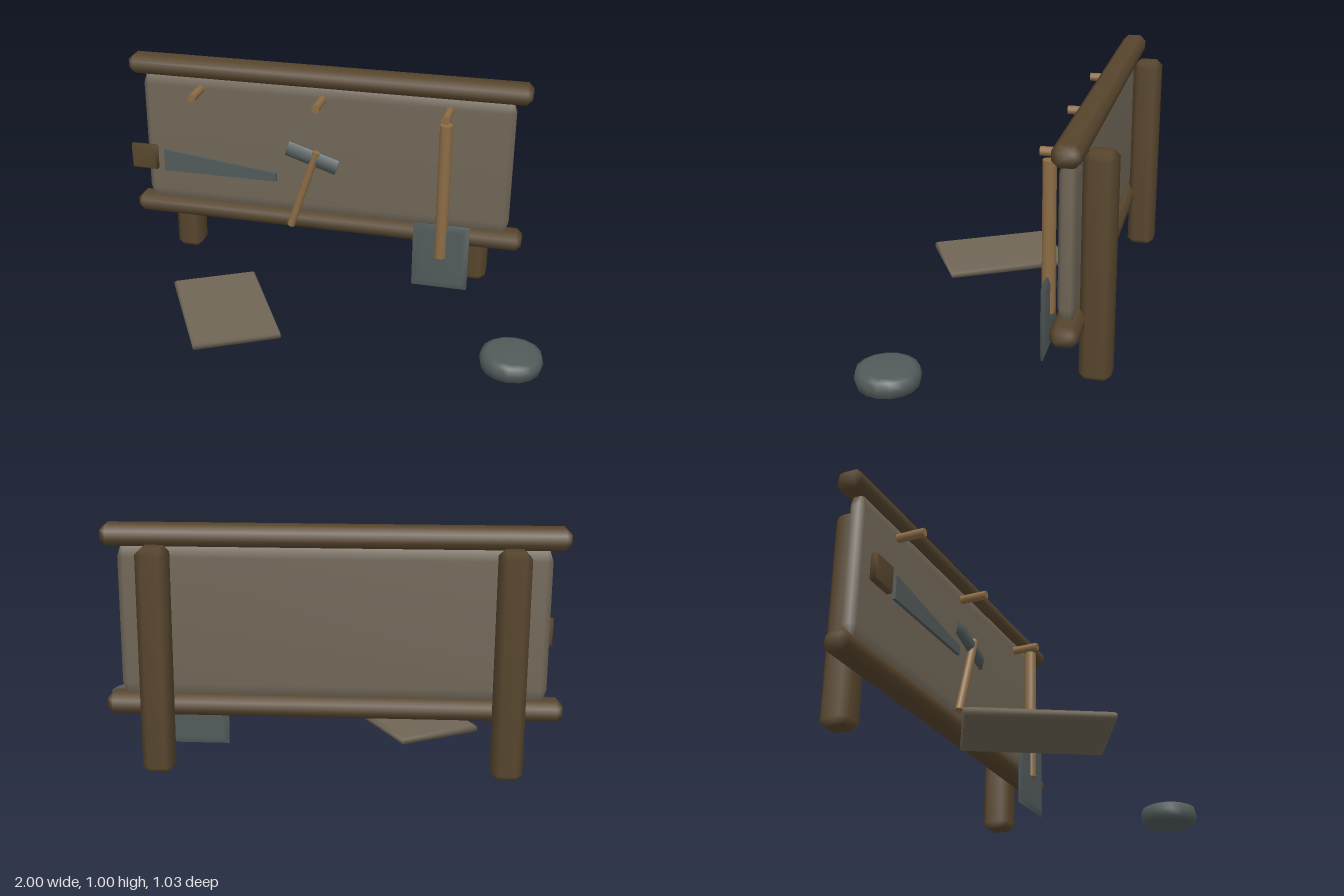
import * as THREE from 'three';
import { mergeVertices } from 'three/addons/utils/BufferGeometryUtils.js';
import { ConvexGeometry } from 'three/addons/geometries/ConvexGeometry.js';

const material = (name, color) => {
  const m = new THREE.MeshStandardMaterial({ color });
  m.name = name;
  return m;
};

// Convex solid with softly blended normals
function softHull(points) {
  const g = new ConvexGeometry(points);
  g.deleteAttribute('normal');
  const merged = mergeVertices(g, 1e-4);
  merged.computeVertexNormals();
  return merged;
}

// Every sign combination of a corner
function corners(x, y, z) {
  const out = [];
  for (const i of [-1, 1]) for (const j of [-1, 1]) for (const k of [-1, 1]) {
    out.push(new THREE.Vector3(i * x, j * y, k * z));
  }
  return out;
}

// Box with all edges chamfered
function chamferBox(w, h, d, cx, cy = cx, cz = cx) {
  const x = w / 2, y = h / 2, z = d / 2;
  return softHull([
    ...corners(x, y - cy, z - cz),
    ...corners(x - cx, y, z - cz),
    ...corners(x - cx, y - cy, z),
  ]);
}

// Slab with square outline, thinning towards its rim
function pillow(w, h, d, inset, rim) {
  return softHull([
    ...corners(w / 2, h / 2, rim / 2),
    ...corners(w / 2 - inset, h / 2 - inset, d / 2),
  ]);
}

export function createModel() {
  const wood = material('dark timber', 0x57452d);
  const tan = material('light wood', 0x8c6c45);
  const board = material('weathered board', 0x706657);
  const metal = material('dull metal', 0x525b5a);

  const root = new THREE.Group();
  root.name = 'toolRack';
  const add = (name, geometry, mat, x, y, z, parent = root) => {
    const mesh = new THREE.Mesh(geometry, mat);
    mesh.name = name;
    mesh.position.set(x, y, z);
    parent.add(mesh);
    return mesh;
  };
  const group = (name, x, y, z) => {
    const g = new THREE.Group();
    g.name = name;
    g.position.set(x, y, z);
    root.add(g);
    return g;
  };

  // Frame
  add('topRail', chamferBox(1.835, 0.087, 0.108, 0.025), wood, -0.083, 0.952, -0.362);
  add('bottomRail', chamferBox(1.835, 0.087, 0.108, 0.025), wood, -0.083, 0.256, -0.362);
  for (const [name, x] of [['rightPost', -0.78], ['leftPost', 0.615]]) {
    add(name, chamferBox(0.122, 0.92, 0.127, 0.026), wood, x, 0.46, -0.456);
  }
  add('backPanel', chamferBox(1.705, 0.67, 0.068, 0.025, 0.075, 0.017), board, -0.082, 0.604, -0.359);

  // Hanging pegs
  for (const x of [-0.655, -0.085, 0.485]) {
    const peg = add('peg', new THREE.CylinderGeometry(0.019, 0.019, 0.15, 10), tan, x, 0.858, -0.277);
    peg.rotation.x = Math.PI / 2;
  }

  // Saw
  const saw = group('saw', 0, 0, -0.233);
  add('sawHandle', pillow(0.122, 0.115, 0.036, 0.008, 0.02), wood, -0.907, 0.543, 0, saw);
  const outline = new THREE.Shape([
    new THREE.Vector2(-0.812, 0.482), new THREE.Vector2(-0.275, 0.482),
    new THREE.Vector2(-0.275, 0.522), new THREE.Vector2(-0.812, 0.585),
  ]);
  add('sawBlade', new THREE.ExtrudeGeometry(outline, { depth: 0.014, bevelEnabled: false }), metal, 0, 0, -0.007, saw);

  // Hammer, leaning
  const hammer = group('hammer', -0.114, 0.604, -0.256);
  hammer.rotation.z = -0.315;
  add('hammerHead', pillow(0.242, 0.07, 0.042, 0.022, 0.014), metal, 0, 0, -0.004, hammer);
  const grip = add('hammerHandle', new THREE.CylinderGeometry(0.018, 0.018, 0.395, 10), tan, -0.018, -0.163, 0.002, hammer);
  grip.rotation.z = 0.0;
  grip.position.set(0.011, -0.162, 0.003);
  grip.rotation.z = 0;

  // Shovel
  const shovel = group('shovel', 0.486, 0, -0.239);
  add('shovelShaft', new THREE.CylinderGeometry(0.028, 0.028, 0.635, 12), tan, 0, 0.508, 0, shovel);
  add('shovelBlade', pillow(0.253, 0.315, 0.024, 0.028, 0.008), metal, 0, 0.193, 0, shovel);

  // Loose board on the ground
  const tile = group('looseBoard', -0.4, 0.027, 0.174);
  tile.rotation.y = 0.5;
  const slab = add('boardSlab', pillow(0.376, 0.564, 0.036, 0.01, 0.016), board, 0, 0, 0, tile);
  slab.rotation.x = -Math.PI / 2;

  // Rounded whetstone
  const profile = [[0, 0], [0.1, 0.002], [0.122, 0.012], [0.13, 0.045], [0.122, 0.077], [0.1, 0.086], [0, 0.088]];
  add('whetstone', new THREE.LatheGeometry(profile.map(([r, y]) => new THREE.Vector2(r, y)), 16), metal, 0.868, 0, 0.303);

  return root;
}
